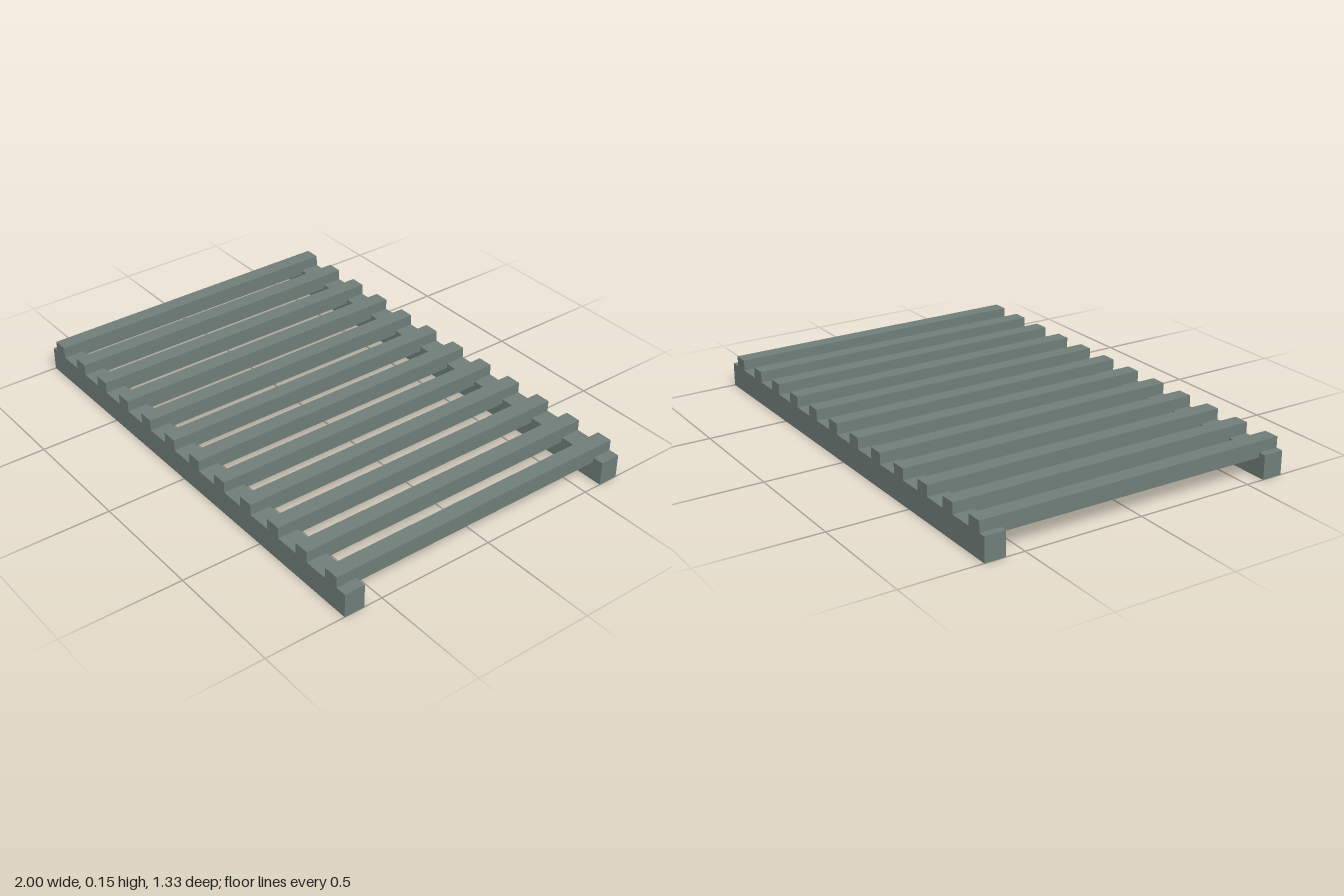
import * as THREE from 'three';

const LENGTH = 2, DEPTH = 1.33;
const RAIL = { height: 0.1, depth: 0.087 };
const SLAT = { count: 12, size: 0.066, bottom: 0.08, first: -0.936, last: 0.921 };

export function createModel() {
  const model = new THREE.Group();
  model.name = 'slattedRack';
  const material = new THREE.MeshStandardMaterial({ color: 0x6f7d78 });

  const addBar = (name, geometry, x, y, z) => {
    const bar = new THREE.Mesh(geometry, material);
    bar.name = name;
    bar.position.set(x, y, z);
    model.add(bar);
  };

  // Two long rails resting on the ground
  const railGeometry = new THREE.BoxGeometry(LENGTH, RAIL.height, RAIL.depth);
  const railZ = (DEPTH - RAIL.depth) / 2;
  addBar('frontRail', railGeometry, 0, RAIL.height / 2, railZ);
  addBar('backRail', railGeometry, 0, RAIL.height / 2, -railZ);

  // Evenly spaced square slats, let into the tops of the rails
  const slatGeometry = new THREE.BoxGeometry(SLAT.size, SLAT.size, DEPTH);
  for (let i = 0; i < SLAT.count; i++) {
    const x = THREE.MathUtils.lerp(SLAT.first, SLAT.last, i / (SLAT.count - 1));
    addBar(`slat${i + 1}`, slatGeometry, x, SLAT.bottom + SLAT.size / 2, 0);
  }
  return model;
}
